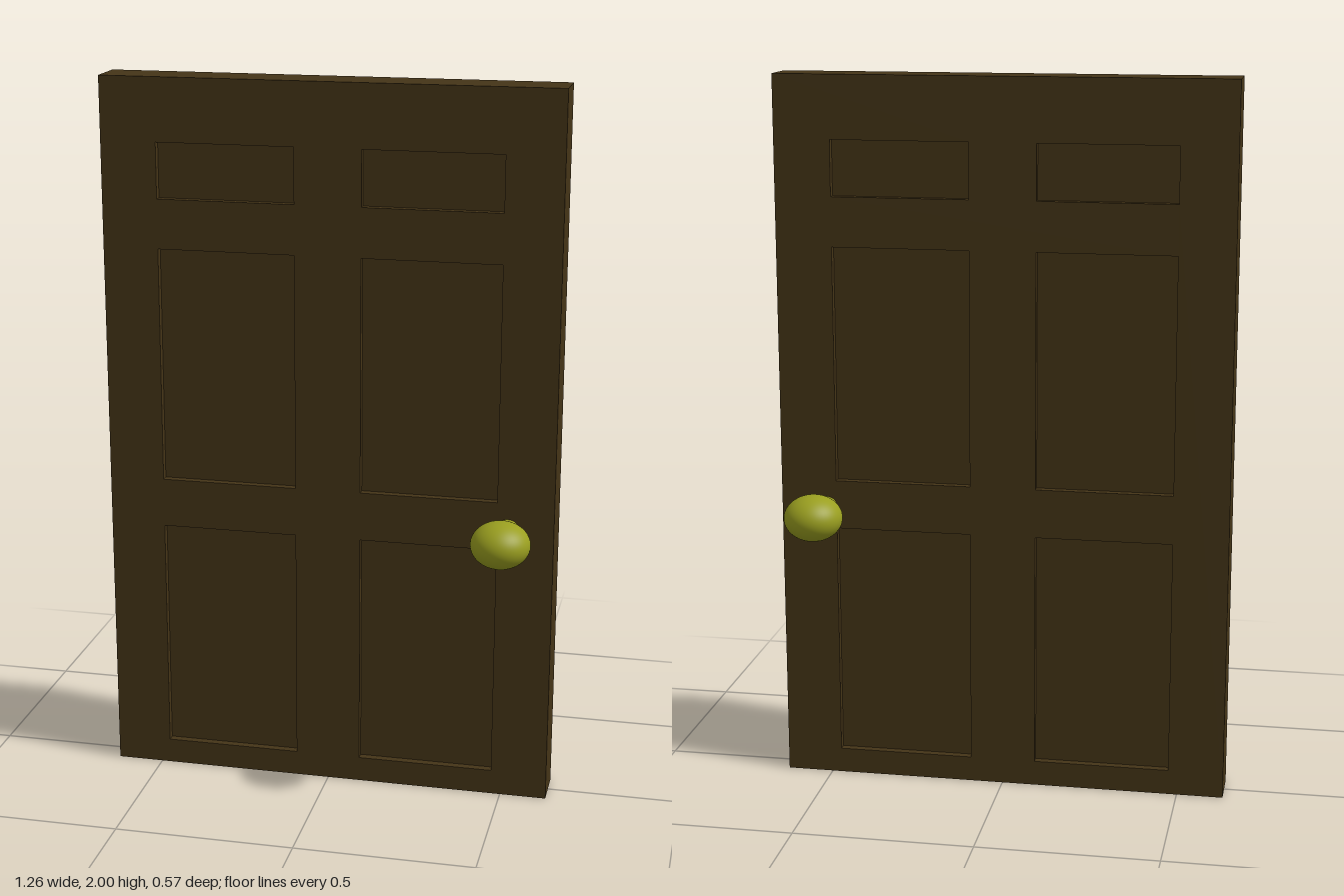
import * as THREE from 'three';

const WIDTH = 1.26, HEIGHT = 2, DEPTH = 0.123, RECESS = 0.022;

export function createModel() {
  const door = new THREE.Group();
  door.name = 'door';
  const wood = new THREE.MeshStandardMaterial({ color: 0x443417 });
  const brass = new THREE.MeshStandardMaterial({ color: 0x9a9f20 });

  const add = (parent, name, geometry, material, x, y, z) => {
    const mesh = new THREE.Mesh(geometry, material);
    mesh.name = name;
    mesh.position.set(x, y, z);
    parent.add(mesh);
    return mesh;
  };

  // Frame outline, with one opening for each recessed panel
  const outline = new THREE.Shape();
  outline.moveTo(-WIDTH / 2, 0).lineTo(WIDTH / 2, 0)
    .lineTo(WIDTH / 2, HEIGHT).lineTo(-WIDTH / 2, HEIGHT).closePath();

  const columns = [[-0.475, -0.093], [0.091, 0.473]];
  const rows = [[0.071, 0.735], [0.873, 1.533], [1.671, 1.825]];
  for (const [x0, x1] of columns) {
    for (const [y0, y1] of rows) {
      const hole = new THREE.Path();
      hole.moveTo(x0, y0).lineTo(x0, y1).lineTo(x1, y1).lineTo(x1, y0).closePath();
      outline.holes.push(hole);

      // Panel sunk into both faces
      const panel = new THREE.BoxGeometry(x1 - x0, y1 - y0, DEPTH - 2 * RECESS);
      add(door, 'panel', panel, wood, (x0 + x1) / 2, (y0 + y1) / 2, 0);
    }
  }
  const frame = new THREE.ExtrudeGeometry(outline, { depth: DEPTH, bevelEnabled: false });
  add(door, 'frame', frame, wood, 0, 0, -DEPTH / 2);

  // Slightly flattened handle: a spindle through the door with a knob on each side
  const handle = new THREE.Group();
  handle.name = 'handle';
  handle.position.set(0.503, 0.803, 0);
  handle.scale.y = 0.79;
  door.add(handle);
  const spindle = new THREE.CylinderGeometry(0.03, 0.03, 0.36, 32).rotateX(Math.PI / 2);
  add(handle, 'spindle', spindle, brass, 0, 0, 0);
  const knob = new THREE.SphereGeometry(0.081, 48, 32);
  add(handle, 'frontKnob', knob, brass, 0, 0, 0.202);
  add(handle, 'backKnob', knob, brass, 0, 0, -0.202);

  return door;
}
